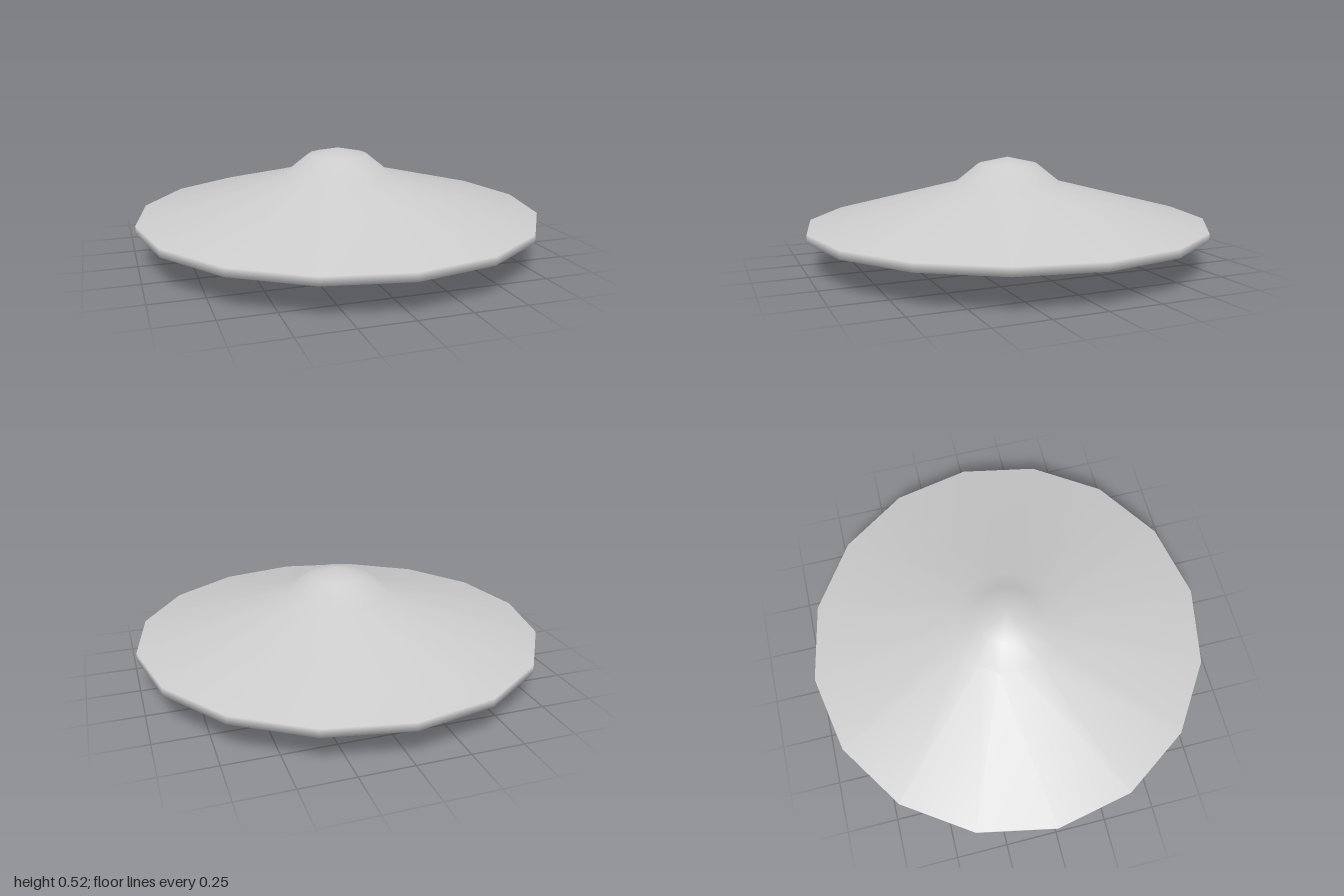
import * as THREE from 'three';

// Half profile from the bottom pole, out round the rim, up to the top pole
const PROFILE = [
  [0, 0], [0.147, 0.015], [0.267, 0.042],   // belly
  [1, 0.16], [1, 0.2],                      // rim band
  [0.267, 0.39], [0.147, 0.487], [0, 0.519] // upper cone and dome
];

export function createModel() {
  const group = new THREE.Group();
  group.name = 'saucer';

  const geometry = new THREE.LatheGeometry(
    PROFILE.map(([r, y]) => new THREE.Vector2(r, y)), 16);

  // Round off the shading at both poles
  const { position, normal } = geometry.attributes;
  for (let i = 0; i < position.count; i++) {
    if (Math.hypot(position.getX(i), position.getZ(i)) < 1e-6) {
      normal.setXYZ(i, 0, position.getY(i) > 0.2 ? 1 : -1, 0);
    }
  }

  const hull = new THREE.Mesh(geometry, new THREE.MeshStandardMaterial({ color: 0xcccccc }));
  hull.name = 'hull';
  group.add(hull);
  return group;
}
